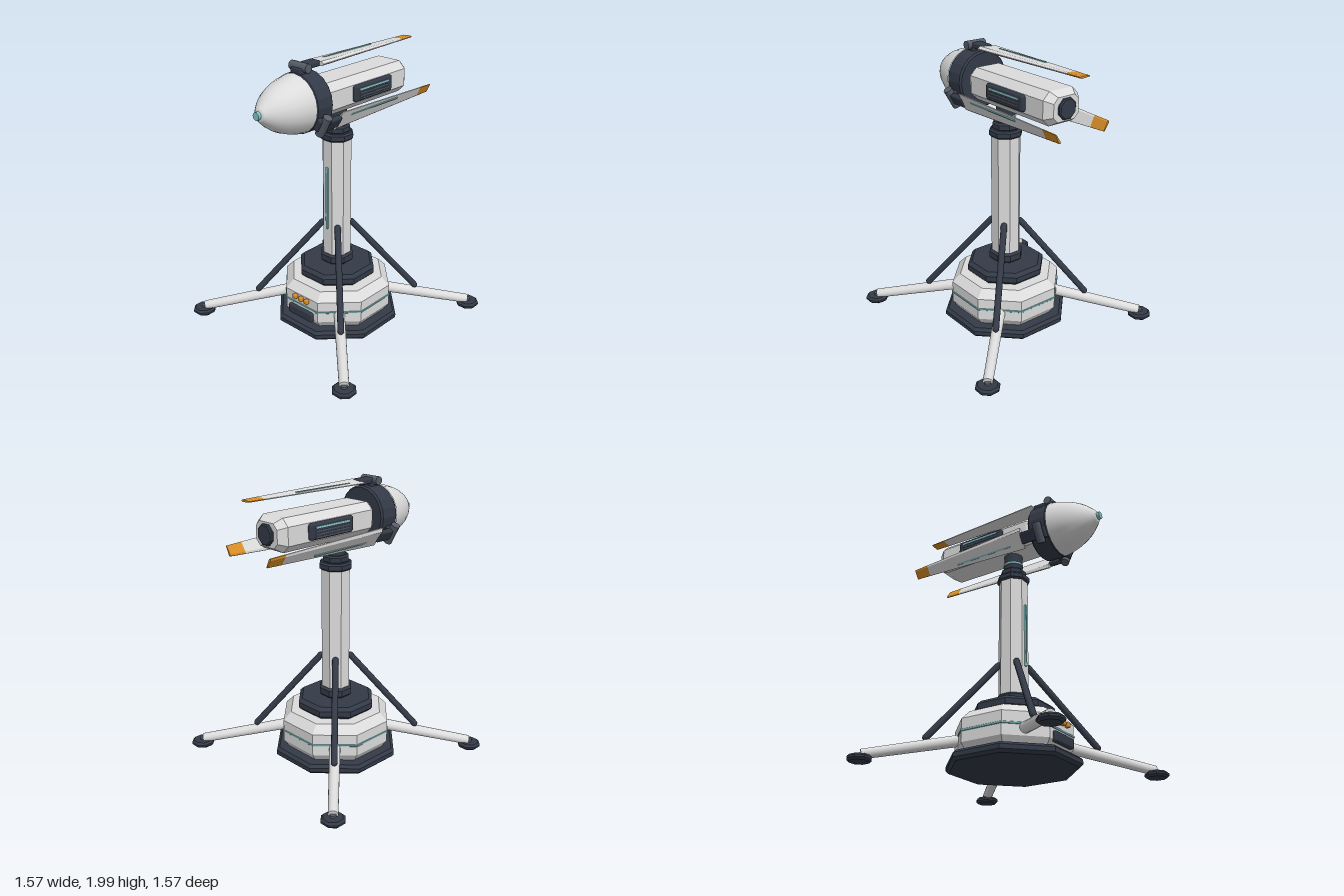
import * as THREE from 'three';
import { RoundedBoxGeometry } from 'three/addons/geometries/RoundedBoxGeometry.js';

const mat = (name, color) => {
  const m = new THREE.MeshStandardMaterial({ color });
  m.name = name;
  return m;
};

export function createModel() {
  const white = mat('white', 0xdcdcdc);
  const dark = mat('dark slate', 0x333a47);
  const grey = mat('mid grey', 0x565d68);
  const cyan = mat('pale cyan', 0x86c5c8);
  const orange = mat('orange', 0xd98e26);

  const root = new THREE.Group();
  root.name = 'windTurbine';

  const add = (parent, name, geo, material, x = 0, y = 0, z = 0) => {
    const m = new THREE.Mesh(geo, material);
    m.name = name;
    m.position.set(x, y, z);
    parent.add(m);
    return m;
  };
  const group = (parent, name) => {
    const g = new THREE.Group();
    g.name = name;
    parent.add(g);
    return g;
  };
  const faceted = (geo) => {
    const g = geo.index ? geo.toNonIndexed() : geo;
    g.computeVertexNormals();
    return g;
  };
  // Octagonal solid from [apothem, y] points, with flats facing the axes
  const octagon = (profile) => faceted(new THREE.LatheGeometry(
    profile.map(([a, y]) => new THREE.Vector2(a / Math.cos(Math.PI / 8), y)), 8, Math.PI / 8));
  // Octagonal slab with chamfered rims
  const slab = (a, y0, y1, c) => octagon(
    [[0, y0], [a - c, y0], [a, y0 + c], [a, y1 - c], [a - c, y1], [0, y1]]);
  // Solid through counterclockwise cross-sections, ordered back to front
  const loft = (sections) => {
    const pos = [];
    const tri = (...p) => p.forEach((v) => pos.push(...v));
    const n = sections[0].length;
    for (let s = 0; s < sections.length - 1; s++) {
      for (let i = 0; i < n; i++) {
        const j = (i + 1) % n, A = sections[s], B = sections[s + 1];
        tri(A[i], A[j], B[j]);
        tri(A[i], B[j], B[i]);
      }
    }
    const back = sections[0], front = sections[sections.length - 1];
    for (let i = 1; i < n - 1; i++) {
      tri(back[0], back[i + 1], back[i]);
      tri(front[0], front[i], front[i + 1]);
    }
    const g = new THREE.BufferGeometry();
    g.setAttribute('position', new THREE.Float32BufferAttribute(pos, 3));
    g.computeVertexNormals();
    return g;
  };
  // Place a y-aligned geometry between two points
  const span = (mesh, a, b) => {
    mesh.position.copy(a).add(b).multiplyScalar(0.5);
    mesh.quaternion.setFromUnitVectors(new THREE.Vector3(0, 1, 0), b.clone().sub(a).normalize());
  };

  // Base
  const base = group(root, 'base');
  add(base, 'basePlate', slab(0.427, 0.005, 0.075, 0.02), dark);
  add(base, 'baseBody', octagon([[0, 0.07], [0.335, 0.07], [0.375, 0.13], [0.375, 0.29], [0.32, 0.35], [0, 0.35]]), white);
  add(base, 'baseLightBand', slab(0.381, 0.203, 0.217, 0.002), cyan);
  add(base, 'baseCollar', slab(0.265, 0.35, 0.44, 0.025), dark);
  add(base, 'controlPanel', new RoundedBoxGeometry(0.235, 0.075, 0.04, 2, 0.016), dark, 0, 0.15, 0.38);
  for (const x of [-0.056, 0, 0.056]) {
    add(base, 'button', new RoundedBoxGeometry(0.034, 0.034, 0.04, 2, 0.008), orange, x, 0.265, 0.382);
  }

  // Legs, feet and struts on the four diagonals
  for (const sx of [-1, 1]) {
    for (const sz of [-1, 1]) {
      const leg = group(root, 'legAssembly');
      const at = (d, y) => new THREE.Vector3(sx * d, y, sz * d);
      span(add(leg, 'leg', new THREE.CylinderGeometry(0.034, 0.04, 0.685, 16), white), at(0.23, 0.195), at(0.7, 0.06));
      add(leg, 'foot', slab(0.078, 0.008, 0.05, 0.014), dark, sx * 0.708, 0, sz * 0.708);
      add(leg, 'footPin', new THREE.CylinderGeometry(0.022, 0.022, 0.03, 8), grey, sx * 0.708, 0.05, sz * 0.708);
      const a = at(0.415, 0.195), b = at(0.075, 0.745);
      span(add(leg, 'strut', new THREE.CapsuleGeometry(0.023, a.distanceTo(b), 4, 10), dark), a, b);
    }
  }

  // Column
  const tower = group(root, 'tower');
  add(tower, 'column', octagon([[0.098, 0.45], [0.098, 1.42]]), white);
  add(tower, 'lowerRing', slab(0.114, 0.445, 0.52, 0.015), dark);
  add(tower, 'upperRing', slab(0.11, 1.395, 1.45, 0.012), dark);
  add(tower, 'neckRing', slab(0.088, 1.445, 1.5, 0.012), dark);
  add(tower, 'bearing', new THREE.CylinderGeometry(0.068, 0.068, 0.17, 16), dark, 0, 1.555, 0);
  add(tower, 'bearingLight', new THREE.CylinderGeometry(0.073, 0.073, 0.012, 16), cyan, 0, 1.545, 0);
  add(tower, 'columnLight', new RoundedBoxGeometry(0.02, 0.475, 0.022, 2, 0.006), cyan, 0, 0.963, 0.1);

  // Turbine head, centred on the rotor axis
  const head = group(root, 'head');
  head.position.y = 1.735;
  const shell = (z, s) => {
    const w = 0.145 * s, h = 0.112 * s, c = 0.05 * s;
    return [[-w + c, -h], [w - c, -h], [w, -h + c], [w, h - c],
      [w - c, h], [-w + c, h], [-w, h - c], [-w, -h + c]].map(([x, y]) => [x, y, z]);
  };
  add(head, 'housing', loft([shell(-0.605, 0.72), shell(-0.55, 1), shell(0.2, 1), shell(0.235, 0.85)]), white);
  add(head, 'rearCap', slab(0.068, -0.02, 0.02, 0.008).rotateX(Math.PI / 2), dark, 0, 0, -0.605);
  add(head, 'shaft', new THREE.CylinderGeometry(0.065, 0.065, 0.08, 16).rotateX(Math.PI / 2), grey, 0, 0, 0.235);

  // Side vents
  for (const s of [-1, 1]) {
    add(head, 'ventFrame', new RoundedBoxGeometry(0.045, 0.112, 0.385, 2, 0.018), dark, s * 0.15, 0.003, -0.19);
    add(head, 'ventLight', new THREE.BoxGeometry(0.008, 0.012, 0.3), cyan, s * 0.172, 0.03, -0.19);
    for (const y of [0.005, -0.015, -0.035]) {
      add(head, 'ventSlat', new THREE.BoxGeometry(0.008, 0.007, 0.3), grey, s * 0.172, y, -0.19);
    }
  }

  // Hub and nose
  const v2 = ([r, z]) => new THREE.Vector2(r, z);
  add(head, 'hub', faceted(new THREE.LatheGeometry(
    [[0, 0.247], [0.19, 0.247], [0.202, 0.26], [0.202, 0.39], [0.19, 0.405]].map(v2), 20)).rotateX(Math.PI / 2), dark);
  const nose = new THREE.SplineCurve([[0.198, 0.4], [0.186, 0.46], [0.162, 0.54], [0.12, 0.62], [0.07, 0.68], [0.035, 0.713]].map(v2));
  add(head, 'nose', new THREE.LatheGeometry([...nose.getPoints(12), v2([0, 0.715])], 20).rotateX(Math.PI / 2), white);
  add(head, 'noseLight', new THREE.CylinderGeometry(0.027, 0.027, 0.03, 12).rotateX(Math.PI / 2), cyan, 0, 0, 0.72);

  // Three blades folded back along the housing
  const R = 0.233;
  const section = (z) => {
    const k = (0.21 - z) / 0.97;
    const w = 0.077 - 0.04 * k, t = 0.016 - 0.008 * k;
    return [[-w, -0.003], [0.7 * w, -t], [w, -0.003], [w, 0.003], [0.7 * w, t], [-w, 0.003]]
      .map(([x, y]) => [x, R + y, z]);
  };
  for (let i = 0; i < 3; i++) {
    const blade = group(head, 'bladeAssembly');
    blade.rotation.z = -i * Math.PI * 2 / 3;
    add(blade, 'blade', loft([section(-0.64), section(0.21)]), white);
    add(blade, 'bladeTip', loft([section(-0.76), section(-0.64)]), orange);
    const light = add(blade, 'bladeLight', new THREE.BoxGeometry(0.012, 0.008, 0.475), cyan, -0.028, R + 0.007, -0.137);
    light.rotation.x = 0.004;
    add(blade, 'hingeArm', new RoundedBoxGeometry(0.085, 0.04, 0.17, 2, 0.012), dark, 0, R, 0.285);
    add(blade, 'hingeBlock', new RoundedBoxGeometry(0.09, 0.05, 0.09, 2, 0.01), dark, 0, R - 0.025, 0.345);
    add(blade, 'hingePin', new THREE.CylinderGeometry(0.031, 0.031, 0.15, 12).rotateZ(Math.PI / 2), grey, 0, R, 0.345);
  }

  return root;
}
